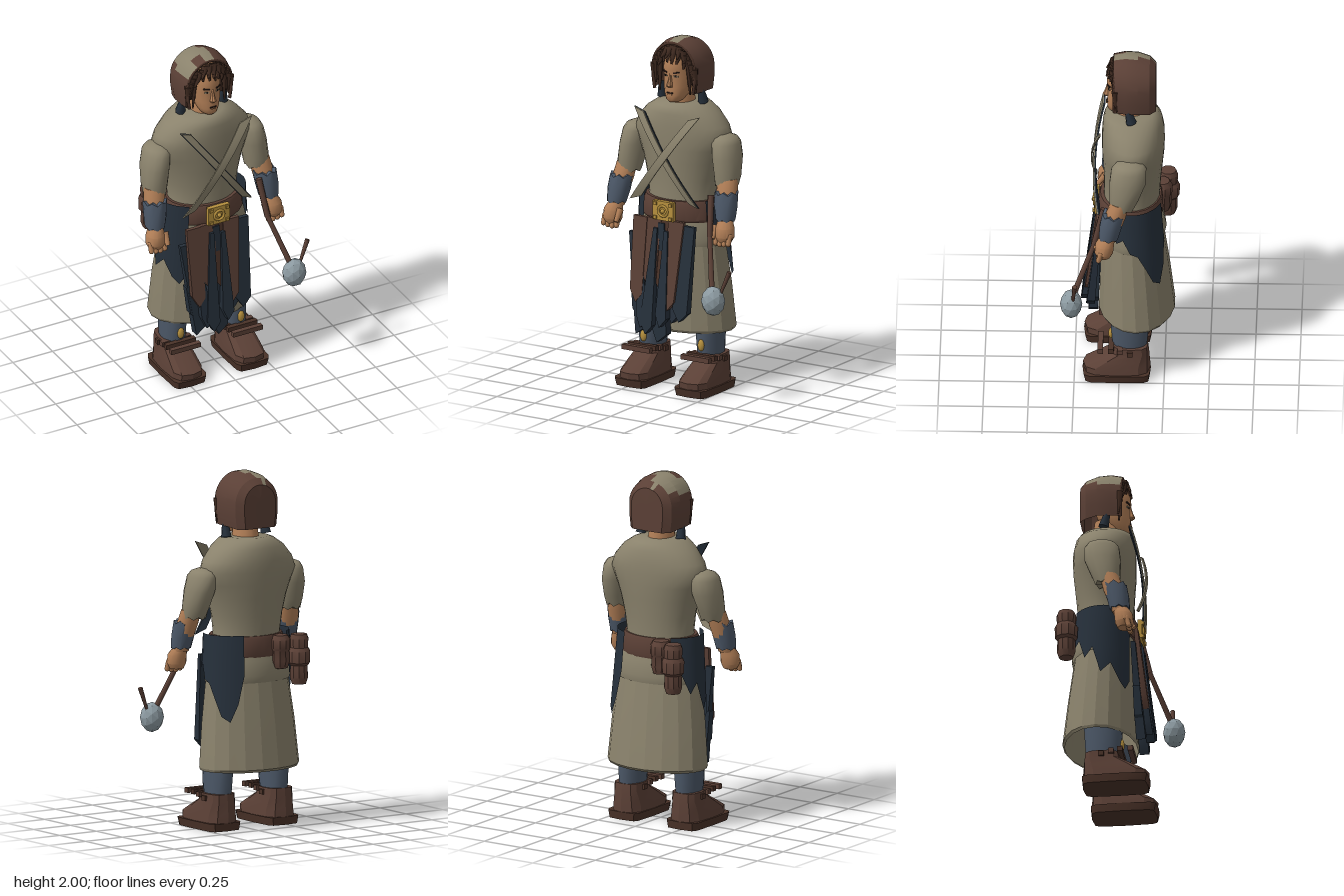
import * as THREE from 'three';
import { toCreasedNormals } from 'three/addons/utils/BufferGeometryUtils.js';

const mat = (name, color, side = THREE.FrontSide) => {
  const m = new THREE.MeshStandardMaterial({ color, side });
  m.name = name;
  return m;
};
const M = {
  tan: mat('tanCloth', 0x8a826c, THREE.DoubleSide),
  skin: mat('skin', 0xb27f57),
  brown: mat('brownLeather', 0x5b4036, THREE.DoubleSide),
  dark: mat('darkLeather', 0x4a3228),
  navy: mat('navyCloth', 0x26303b, THREE.DoubleSide),
  blue: mat('blueCloth', 0x4c5868, THREE.DoubleSide),
  gold: mat('brass', 0xb8923f),
  steel: mat('steel', 0x8d9ba2),
  hair: mat('hair', 0x3f2a20, THREE.DoubleSide),
  ink: mat('faceLines', 0x2a1c18),
};

// Horizontal ring: half width, front z, back z, centre x, optional ragged edge
function ring(y, hw, zf, zb, cx = 0, n = 20, jag = 0, pow = 1) {
  const p = [], f = (v) => Math.sign(v) * Math.abs(v) ** pow;
  for (let i = 0; i < n; i++) {
    const a = (i / n) * Math.PI * 2;
    p.push([cx + hw * f(Math.cos(a)), y + (i % 2 ? jag : -jag), (zf + zb) / 2 + ((zf - zb) / 2) * f(Math.sin(a))]);
  }
  return p;
}

// Skin a list of point rows, ordered bottom to top
function loft(rows, { closed = true, caps = true, crease = 0.6, pick = () => true } = {}) {
  const n = rows[0].length, pos = rows.flat(2), idx = [];
  for (let i = 0; i < rows.length - 1; i++) {
    for (let j = 0; j < (closed ? n : n - 1); j++) {
      if (!pick(i, j)) continue;
      const a = i * n + j, b = i * n + ((j + 1) % n);
      idx.push(a, a + n, b, b, a + n, b + n);
    }
  }
  if (closed && caps) {
    [0, rows.length - 1].forEach((r, top) => {
      const c = pos.length / 3;
      for (let k = 0; k < 3; k++) pos.push(rows[r].reduce((s, p) => s + p[k], 0) / n);
      for (let j = 0; j < n; j++) {
        const a = r * n + j, b = r * n + ((j + 1) % n);
        idx.push(c, top ? b : a, top ? a : b);
      }
    });
  }
  const g = new THREE.BufferGeometry();
  g.setAttribute('position', new THREE.Float32BufferAttribute(pos, 3));
  g.setIndex(idx);
  return toCreasedNormals(g, crease);
}

function bend(g, rule) {
  const p = g.attributes.position, v = new THREE.Vector3();
  for (let i = 0; i < p.count; i++) {
    rule(v.fromBufferAttribute(p, i));
    p.setXYZ(i, v.x, v.y, v.z);
  }
  return toCreasedNormals(g, 0.5);
}

export function createModel() {
  const model = new THREE.Group();
  model.name = 'wanderer';
  const body = new THREE.Group();
  body.name = 'figure';
  body.position.x = -0.045;
  model.add(body);
  const add = (name, g, m, x = 0, y = 0, z = 0, parent = body) => {
    const o = new THREE.Mesh(g, m);
    o.name = name;
    o.position.set(x, y, z);
    parent.add(o);
    return o;
  };
  const box = (w, h, d) => new THREE.BoxGeometry(w, h, d);
  const rod = (name, a, b, r0, r1, m, parent = body) => {
    const p = new THREE.Vector3(...a), q = new THREE.Vector3(...b), d = q.clone().sub(p);
    const o = add(name, new THREE.CylinderGeometry(r1, r0, d.length(), 7), m, 0, 0, 0, parent);
    o.position.copy(p).add(q).multiplyScalar(0.5);
    o.quaternion.setFromUnitVectors(new THREE.Vector3(0, 1, 0), d.normalize());
    return o;
  };

  // Tunic, skirt and belt
  add('torso', loft([
    [1.0, 0.215, 0.095, -0.22], [1.1, 0.2, 0.09, -0.222], [1.2, 0.215, 0.09, -0.228], [1.3, 0.24, 0.095, -0.238],
    [1.38, 0.27, 0.1, -0.246], [1.45, 0.302, 0.1, -0.248], [1.51, 0.28, 0.1, -0.247], [1.58, 0.22, 0.095, -0.235],
    [1.62, 0.16, 0.085, -0.215], [1.635, 0.12, 0.06, -0.19],
  ].map(([y, w, f, b]) => ring(y, w, f, b, 0, 28)), { crease: 1 }), M.tan);
  add('tunicHem', loft([[0.83, 0.262, 0.1, -0.25], [0.87, 0.27, 0.105, -0.258], [0.95, 0.25, 0.1, -0.24], [1.02, 0.222, 0.095, -0.225]]
    .map(([y, w, f, b]) => ring(y, w, f, b)), { caps: false }), M.tan);
  add('skirt', loft([[0.335, 0.3, 0.11, -0.295], [0.35, 0.306, 0.12, -0.308], [0.6, 0.285, 0.112, -0.278], [0.98, 0.235, 0.095, -0.225]]
    .map(([y, w, f, b]) => ring(y, w, f, b, 0, 18)), { caps: false, crease: 0.2 }), M.tan);
  add('belt', loft([[0.97, 0.236, 0.115, -0.235], [0.985, 0.24, 0.122, -0.24], [1.075, 0.222, 0.118, -0.236], [1.09, 0.216, 0.11, -0.23]]
    .map(([y, w, f, b]) => ring(y, w, f, b, 0, 24)), { crease: 0.5 }), M.brown);

  // Buckle
  add('bucklePlate', box(0.135, 0.11, 0.025), M.gold, 0, 1.033, 0.13);
  add('buckleRing', new THREE.TorusGeometry(0.03, 0.008, 6, 12), M.gold, 0, 1.033, 0.144);
  add('buckleBoss', new THREE.SphereGeometry(0.013, 8, 6), M.gold, 0, 1.033, 0.146);
  for (const x of [-1, 1]) for (const y of [-1, 1])
    add('buckleStud', box(0.02, 0.018, 0.012), M.gold, x * 0.05, 1.033 + y * 0.04, 0.146);

  // Ragged cloth over each hip, with a hem height per column
  const hip = (name, s, angles, hems) => {
    const at = (y, deg) => {
      const a = (deg * Math.PI) / 180, k = (1.09 - y) / 0.74;
      return [s * (0.262 + 0.052 * k) * Math.cos(a), y, -0.065 - 0.03 * k + (0.19 + 0.035 * k) * Math.sin(a)];
    };
    const rows = [0, 0.33, 0.66, 1].map((t) => angles.map((d, i) => at(hems[i] + (1.1 - hems[i]) * t, d)));
    if (s > 0) rows.forEach((r) => r.reverse());
    add(name, loft(rows, { closed: false }), M.navy);
  };
  hip('leftHipCloth', 1, [34, 26, 15, 4, -8, -20, -30, -42, -52, -60], [0.96, 0.9, 0.93, 0.85, 0.83, 0.74, 0.65, 0.62, 0.72, 0.88]);
  hip('rightHipCloth', -1, [53, 45, 35, 20, 5, -10, -22, -36, -50], [0.66, 0.6, 0.64, 0.74, 0.68, 0.84, 0.78, 0.9, 0.86]);

  // Hanging strips: top left/right x, bottom left/right x, top y, bottom y, tip x, material, z, forward slope
  [[-0.2, -0.11, -0.19, -0.11, 0.98, 0.5, -0.15, M.brown, 0.113, 0.08], [-0.125, -0.02, -0.13, -0.03, 0.98, 0.6, -0.08, M.brown, 0.108, 0.08],
    [-0.02, 0.06, -0.03, 0.05, 0.98, 0.55, 0.02, M.dark, 0.105, 0.07], [0.03, 0.13, 0.02, 0.1, 0.98, 0.48, 0.06, M.brown, 0.112, 0.08],
    [-0.235, -0.19, -0.17, -0.09, 0.88, 0.31, -0.16, M.navy, 0.095, 0.04], [-0.06, -0.035, -0.11, -0.03, 0.93, 0.33, -0.07, M.navy, 0.122, 0.07],
    [-0.035, 0.005, -0.05, 0.04, 0.96, 0.28, -0.02, M.navy, 0.115, 0.01], [0.01, 0.035, -0.01, 0.06, 0.92, 0.38, 0.02, M.navy, 0.122, 0.075],
    [0.115, 0.195, 0.085, 0.18, 0.96, 0.42, 0.13, M.navy, 0.1, 0.07], [-0.15, -0.13, -0.14, -0.06, 0.75, 0.36, -0.11, M.navy, 0.11, 0.08],
    [0.05, 0.1, 0.03, 0.11, 0.75, 0.4, 0.07, M.navy, 0.1, 0.03], [-0.21, -0.15, -0.19, -0.1, 0.62, 0.38, -0.13, M.navy, 0.098, 0.03],
  ].forEach(([a, b, c, d, top, bot, tip, m, z, slope]) => {
    const s = new THREE.Shape([[a, top], [c, bot + 0.07], [tip, bot], [d, bot + 0.05], [b, top]].map((p) => new THREE.Vector2(...p)));
    const g = new THREE.ExtrudeGeometry(s, { depth: 0.022, bevelEnabled: false });
    add('apronStrip', bend(g, (v) => {
      const drop = 0.97 - v.y;
      v.z += v.z * drop * 2.2 + z + drop * slope;
    }), m);
  });

  // Crossed chest straps, bowed away from the chest
  const strap = (name, s, w, z, m) => add(name, bend(new THREE.BoxGeometry(w, 0.5, 0.008, 1, 10, 1), (v) => {
    const t = v.y / 0.25;
    v.y += 1.335 + s * v.x * 0.35;
    v.x += s * t * 0.185;
    v.z += z + 0.146 - 0.036 * t * t - 0.012 * t;
  }), m);
  strap('strapEdge', -1, 0.07, -0.009, M.navy);
  strap('strap', -1, 0.058, 0, M.tan);
  strap('strap', 1, 0.076, 0.012, M.tan);

  for (const s of [-1, 1]) {
    const limb = (name, rows, m, opt) => add(name, loft(rows.map(([y, x, w, f, b, jag]) => ring(y, w, f, b, s * x, 14, jag)), opt), m);
    // Arm
    limb('sleeve', [[1.195, 0.32, 0.066, 0.05, -0.085, 0.008], [1.25, 0.318, 0.074, 0.055, -0.11], [1.35, 0.305, 0.08, 0.055, -0.15],
      [1.43, 0.292, 0.076, 0.045, -0.154], [1.46, 0.284, 0.066, 0.02, -0.135], [1.475, 0.279, 0.035, -0.02, -0.095]], M.tan, { crease: 0.9 });
    limb('forearm', [[1.0, 0.358, 0.045, 0.1, 0.015], [1.15, 0.343, 0.062, 0.078, -0.04], [1.24, 0.33, 0.06, 0.045, -0.06]], M.skin);
    limb('bracer', [[1.02, 0.358, 0.056, 0.112, 0.0, 0.006], [1.09, 0.352, 0.066, 0.108, -0.018], [1.17, 0.345, 0.068, 0.092, -0.038, 0.01]], M.blue);
    limb('hand', [[0.9, 0.368, 0.04, 0.12, 0.045], [0.93, 0.37, 0.056, 0.135, 0.03], [0.98, 0.368, 0.054, 0.13, 0.025], [1.02, 0.36, 0.04, 0.105, 0.02]], M.skin);
    for (let i = 0; i < 4; i++) {
      const f = add('finger', new THREE.CapsuleGeometry(0.0155, 0.045, 3, 7), M.skin, s * (0.327 + i * 0.028), 0.908 + Math.abs(i - 1.2) * 0.006, 0.105);
      f.rotation.x = -0.3;
    }
    rod('thumb', [s * 0.315, 0.985, 0.09], [s * 0.318, 0.92, 0.132], 0.02, 0.014, M.skin);

    // Leg and boot
    limb('legging', [[0.15, 0.19, 0.064, 0.03, -0.15], [0.25, 0.19, 0.07, 0.045, -0.16], [0.42, 0.185, 0.078, 0.055, -0.17]], M.blue, { crease: 1 });
    add('legStud', new THREE.SphereGeometry(1, 10, 8).scale(0.021, 0.034, 0.014), M.gold, s * 0.19, 0.265, 0.047);
    add('sole', loft([ring(0, 0.1, 0.195, -0.17, s * 0.197, 12, 0, 0.32), ring(0.045, 0.107, 0.205, -0.175, s * 0.197, 12, 0, 0.32)]), M.dark);
    add('boot', loft([[0.045, 0.1, 0.198, -0.172], [0.08, 0.096, 0.202, -0.172], [0.12, 0.09, 0.13, -0.168], [0.165, 0.082, 0.045, -0.165], [0.205, 0.08, 0.035, -0.16]]
      .map(([y, w, f, b]) => ring(y, w, f, b, s * 0.195, 12, 0, 0.65)), { crease: 0.3 }), M.brown);
    [0.105, 0.045, -0.005, -0.06].forEach((z, i) =>
      add('bootStrap', box(0.185, 0.028, 0.03), i % 2 ? M.dark : M.brown, s * 0.195, [0.203, 0.203, 0.195, 0.18][i], z));

    // Face details and hanging scarf ends
    const turn = s * 0.38;
    add('eyeWhite', box(0.026, 0.009, 0.006), M.tan, s * 0.034, 1.795, 0.061).rotation.y = turn;
    add('pupil', box(0.01, 0.01, 0.006), M.ink, s * 0.033, 1.795, 0.063).rotation.y = turn;
    add('brow', box(0.036, 0.008, 0.008), M.ink, s * 0.036, 1.817, 0.062).rotation.set(0, turn, s * 0.12);
    add('ear', new THREE.SphereGeometry(1, 8, 6).scale(0.014, 0.032, 0.022), M.skin, s * 0.084, 1.78, -0.02);
    rod('scarfEnd', [s * 0.125, 1.76, -0.035], [s * 0.135, 1.635, -0.065], 0.012, 0.03, M.navy);
    for (let i = 0; i < 4; i++)
      rod('sideLock', [s * (0.09 + i * 0.015), 1.92 - i * 0.025, 0.028], [s * (0.1 + i * 0.013), 1.69 + ((i * 3) % 4) * 0.02, 0.018], 0.02, 0.005, M.hair);
  }

  // Head
  add('neck', loft([ring(1.58, 0.078, 0.035, -0.15, 0, 14), ring(1.72, 0.06, 0.02, -0.13, 0, 14)]), M.skin);
  add('head', loft([[1.643, 0.03, 0.058, 0.0], [1.655, 0.048, 0.07, -0.04], [1.685, 0.065, 0.073, -0.08], [1.73, 0.078, 0.072, -0.11],
    [1.79, 0.083, 0.068, -0.13], [1.83, 0.082, 0.075, -0.13], [1.89, 0.078, 0.068, -0.13], [1.95, 0.05, 0.03, -0.11]]
    .map(([y, w, f, b]) => ring(y, w, f, b, 0, 18)), { crease: 0.9 }), M.skin);
  add('nose', loft([[1.733, 0.017, 0.085, 0.05], [1.743, 0.019, 0.097, 0.05], [1.775, 0.011, 0.083, 0.05], [1.81, 0.008, 0.073, 0.05]]
    .map(([y, w, f, b]) => ring(y, w, f, b, 0, 8))), M.skin);
  add('mouth', box(0.038, 0.006, 0.008), M.ink, 0, 1.699, 0.072);
  add('lowerLip', box(0.028, 0.007, 0.01), M.skin, 0, 1.691, 0.073);

  // Hood: arched sections from back to front
  const arch = (z, hw, top, low = 1.7) => {
    const p = [[-hw * 0.93, low, z], [-hw, 1.77, z]];
    for (let i = 0; i <= 16; i++) {
      const a = Math.PI * (1 - i / 16);
      p.push([hw * Math.cos(a), 1.83 + (top - 1.83) * Math.sin(a), z]);
    }
    return [...p, [hw, 1.77, z], [hw * 0.93, low, z]];
  };
  const hood = [arch(-0.203, 0.0004, 1.86, 1.69), arch(-0.2, 0.105, 1.935, 1.69), arch(-0.165, 0.143, 1.97, 1.69), arch(-0.1, 0.16, 1.992),
    arch(-0.03, 0.156, 1.998), arch(0.035, 0.142, 1.985)];
  // Worn pale patch: first and last column on each band, with a gap at the front
  const worn = [null, [8, 8], [5, 9], [4, 10], [4, 10]];
  const patch = (i, j) => !!worn[i] && j >= worn[i][0] && j <= worn[i][1] && !(i === 4 && (j === 7 || j === 8));
  add('hood', loft(hood, { closed: false, crease: 0.35, pick: (i, j) => !patch(i, j) }), M.brown);
  add('hoodPatch', loft(hood, { closed: false, crease: 0.35, pick: patch }), M.tan);
  const rim = new THREE.CatmullRomCurve3(arch(0.03, 0.136, 1.976).map((p) => new THREE.Vector3(...p)));
  add('hoodRim', new THREE.TubeGeometry(rim, 32, 0.009, 6), M.dark);

  // Hair behind the face and a ragged fringe
  add('hairBack', new THREE.ShapeGeometry(new THREE.Shape(arch(0, 0.136, 1.975, 1.74).map((p) => new THREE.Vector2(p[0], p[1])))), M.hair, 0, 0, 0.005);
  for (let i = 0; i < 11; i++) {
    const t = i / 5 - 1, x = t * 0.085;
    rod('fringeLock', [x * 0.8 + 0.01, 1.96 - 0.04 * t * t, 0.035],
      [x + (i % 2 ? 0.014 : -0.014), 1.868 + ((i * 7) % 5) * 0.009 - 0.03 * t * t, 0.076 - 0.035 * t * t], 0.024, 0.005, M.hair);
  }

  // Pouches on the back of the belt
  const jar = (name, x, z, pts, m) => add(name, toCreasedNormals(new THREE.LatheGeometry(pts.map((p) => new THREE.Vector2(...p)), 10), 0.6), m, x, 0, z);
  jar('flask', -0.22, -0.262, [[0, 0.8], [0.04, 0.805], [0.052, 0.84], [0.05, 0.91], [0.063, 0.925], [0.065, 0.99], [0.052, 1.01], [0.055, 1.06], [0.045, 1.085], [0, 1.09]], M.brown);
  jar('pouch', -0.115, -0.228, [[0, 0.89], [0.045, 0.9], [0.057, 0.94], [0.054, 1.0], [0.06, 1.01], [0.06, 1.06], [0.045, 1.085], [0, 1.09]], M.brown);

  // Mace carried in the left hand
  const mace = new THREE.Group();
  mace.name = 'mace';
  model.add(mace);
  rod('maceGrip', [0.235, 1.155, 0.085], [0.262, 0.93, 0.14], 0.019, 0.017, M.brown, mace);
  rod('maceShaft', [0.262, 0.935, 0.138], [0.348, 0.655, 0.25], 0.014, 0.016, M.brown, mace);
  add('maceHead', toCreasedNormals(new THREE.IcosahedronGeometry(1, 1).scale(0.069, 0.085, 0.062), 0.1), M.steel, 0.364, 0.605, 0.263, mace);
  rod('maceSpike', [0.405, 0.65, 0.252], [0.458, 0.78, 0.242], 0.008, 0.014, M.brown, mace);

  return model;
}
